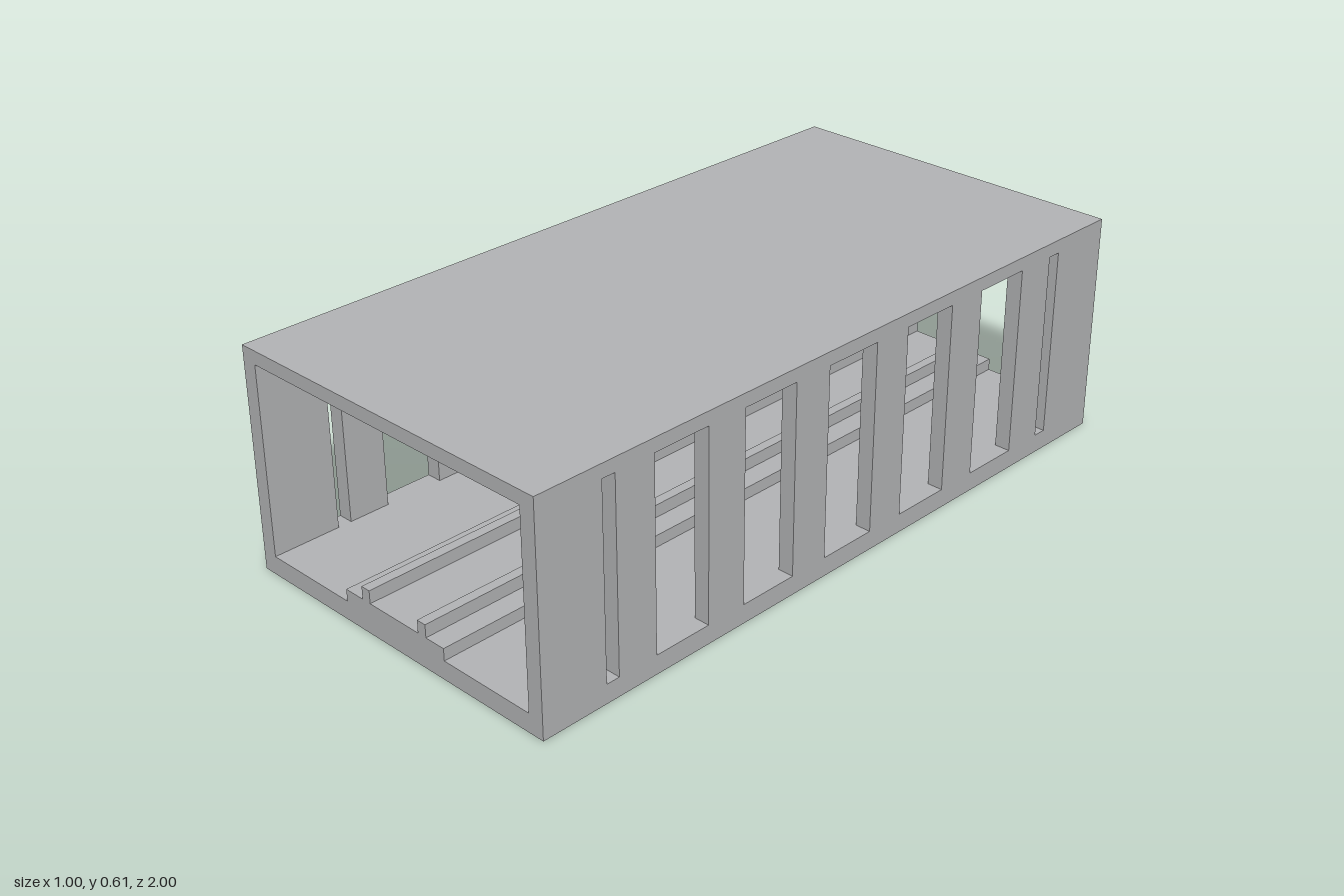
import * as THREE from 'three';

export function createModel() {
  const model = new THREE.Group();
  model.name = 'trackTunnel';
  const concrete = new THREE.MeshStandardMaterial({ color: 0xb4b5b7 });
  concrete.name = 'light grey concrete';

  // Box given by its lower and upper limits on each axis
  function block(name, [x0, x1], [y0, y1], [z0, z1], parent = model) {
    const mesh = new THREE.Mesh(new THREE.BoxGeometry(x1 - x0, y1 - y0, z1 - z0), concrete);
    mesh.position.set((x0 + x1) / 2, (y0 + y1) / 2, (z0 + z1) / 2);
    mesh.name = name;
    parent.add(mesh);
  }

  const floorTop = 0.052, ceiling = 0.57, top = 0.607;
  const length = [-1, 1];

  // Floor and roof slabs
  block('floor', [-0.5, 0.5], [0, floorTop], length);
  block('roof', [-0.5, 0.5], [ceiling, top], length);

  // Side walls: pillars standing between the window openings
  const pillars = [
    [-1, -0.81], [-0.772, -0.655], [-0.488, -0.37], [-0.2, -0.085],
    [0.085, 0.2], [0.37, 0.488], [0.655, 0.772], [0.81, 1],
  ];
  for (const side of [-1, 1]) {
    const wall = new THREE.Group();
    wall.name = side > 0 ? 'leftWall' : 'rightWall';
    const x = side > 0 ? [0.456, 0.5] : [-0.5, -0.456];
    for (const z of pillars) block('pillar', x, [floorTop, ceiling], z, wall);
    model.add(wall);
  }

  // Track bed with two rails
  block('trackBed', [-0.175, 0.175], [floorTop, 0.085], length);
  block('leftRail', [0.086, 0.114], [0.085, 0.12], length);
  block('rightRail', [-0.114, -0.086], [0.085, 0.12], length);

  return model;
}
